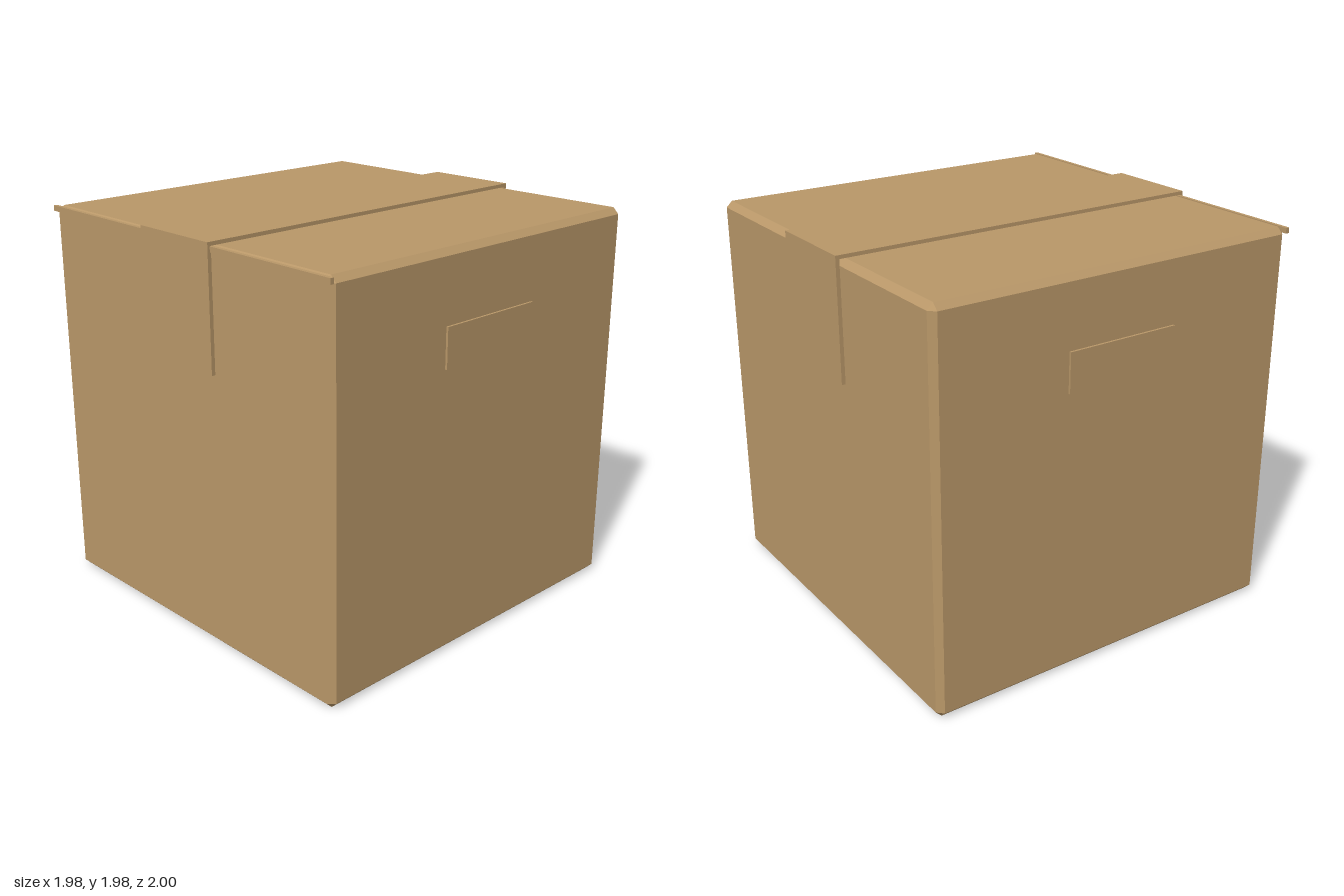
import * as THREE from 'three';
import { ConvexGeometry } from 'three/addons/geometries/ConvexGeometry.js';

// Box with flat chamfered edges: each corner becomes three points
function chamferedBox(half, bevel) {
  const points = [];
  const inner = half - bevel;
  for (const x of [-1, 1]) for (const y of [-1, 1]) for (const z of [-1, 1]) {
    points.push(
      new THREE.Vector3(x * half, y * inner, z * inner),
      new THREE.Vector3(x * inner, y * half, z * inner),
      new THREE.Vector3(x * inner, y * inner, z * half),
    );
  }
  return new ConvexGeometry(points);
}

export function createModel() {
  const model = new THREE.Group();
  model.name = 'cardboardBox';

  const cardboard = new THREE.MeshStandardMaterial({ color: 0xba9869 });
  cardboard.name = 'cardboard';

  const HALF = 0.981;
  const TOP = HALF * 2;

  const add = (name, geometry, x, y, z) => {
    const mesh = new THREE.Mesh(geometry, cardboard);
    mesh.name = name;
    mesh.position.set(x, y, z);
    model.add(mesh);
  };

  // Box body
  add('body', chamferedBox(HALF, 0.03), 0, HALF, 0);

  // Thin lip along the front top edge
  add('frontLip', new THREE.BoxGeometry(1.974, 0.027, 0.019), 0, 1.947, 0.978);

  // Tape strip folded over the top, with a flap down the front and back
  const tape = new THREE.Shape();
  tape.moveTo(-1, 1.38);
  tape.lineTo(-HALF, 1.38);
  tape.lineTo(-HALF, TOP);
  tape.lineTo(HALF, TOP);
  tape.lineTo(HALF, 1.38);
  tape.lineTo(1, 1.38);
  tape.lineTo(1, 1.98);
  tape.lineTo(-1, 1.98);
  const tapeGeometry = new THREE.ExtrudeGeometry(tape, { depth: 0.484, bevelEnabled: false });
  tapeGeometry.translate(0, 0, -0.242).rotateY(Math.PI / 2);
  add('tape', tapeGeometry, 0, 0, 0);

  // Handle plates on both sides
  for (const [name, side] of [['leftHandle', 1], ['rightHandle', -1]]) {
    add(name, new THREE.BoxGeometry(0.022, 0.195, 0.588), side * 0.981, 1.523, 0);
  }

  return model;
}
